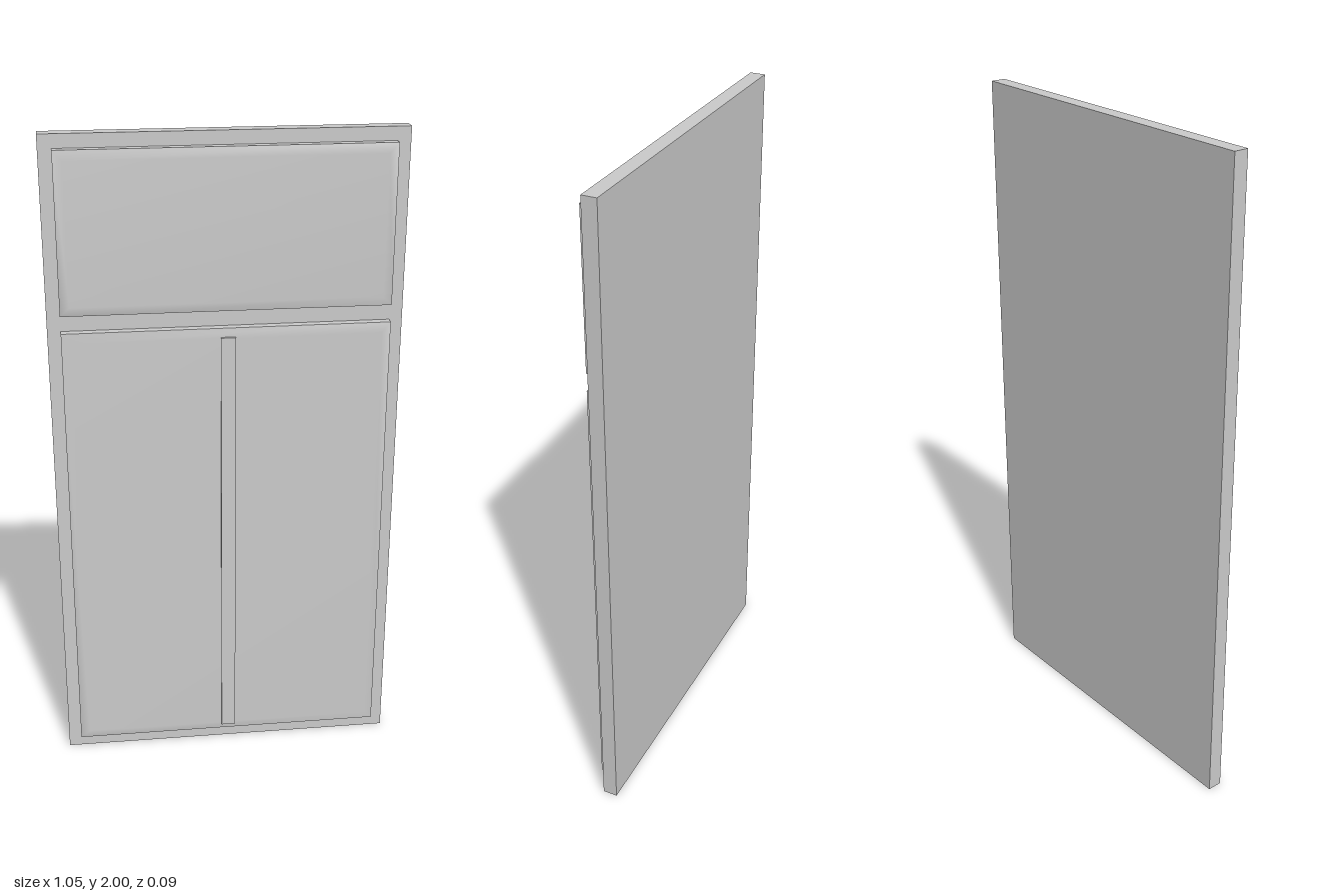
import * as THREE from 'three';

const material = new THREE.MeshStandardMaterial({ color: 0xcccccc });

// Box given by its minimum and maximum corners
function box(name, [x0, y0, z0], [x1, y1, z1]) {
  const geometry = new THREE.BoxGeometry(x1 - x0, y1 - y0, z1 - z0);
  geometry.translate((x0 + x1) / 2, (y0 + y1) / 2, (z0 + z1) / 2);
  const mesh = new THREE.Mesh(geometry, material);
  mesh.name = name;
  return mesh;
}

// Shallow bevelled face, smoothly shaded from its rim to its flat centre
function bevelledFace(name, halfWidth, y0, y1, zRim, zFront, inset) {
  const points = [];
  for (const [d, z] of [[0, zRim], [inset, zFront]]) {
    const x = halfWidth - d;
    points.push(-x, y0 + d, z, x, y0 + d, z, x, y1 - d, z, -x, y1 - d, z);
  }
  const index = [4, 5, 6, 4, 6, 7];
  for (let i = 0; i < 4; i++) {
    const j = (i + 1) % 4;
    index.push(i, j, j + 4, i, j + 4, i + 4);
  }
  const geometry = new THREE.BufferGeometry();
  geometry.setAttribute('position', new THREE.Float32BufferAttribute(points, 3));
  geometry.setIndex(index);
  geometry.computeVertexNormals();
  const mesh = new THREE.Mesh(geometry, material);
  mesh.name = name;
  return mesh;
}

// Raised panel: straight sides with a bevelled face on top
function raisedPanel(name, y0, y1) {
  const halfWidth = 0.484, rim = 0.026;
  const panel = new THREE.Group();
  panel.name = name;
  panel.add(
    box(name + 'Sides', [-halfWidth, y0, 0], [halfWidth, y1, rim]),
    bevelledFace(name + 'Face', halfWidth, y0, y1, rim, 0.035, 0.028)
  );
  return panel;
}

export function createModel() {
  const model = new THREE.Group();
  model.name = 'cabinetFront';
  model.add(
    box('backBoard', [-0.523, 0, -0.045], [0.523, 2, 0]),
    raisedPanel('drawerPanel', 1.487, 1.96),
    raisedPanel('doorPanel', 0.047, 1.435),
    // Narrow strip down the middle of the door panel
    box('centreStrip', [-0.022, 0.07, 0.03], [0.022, 1.41, 0.043])
  );
  return model;
}
